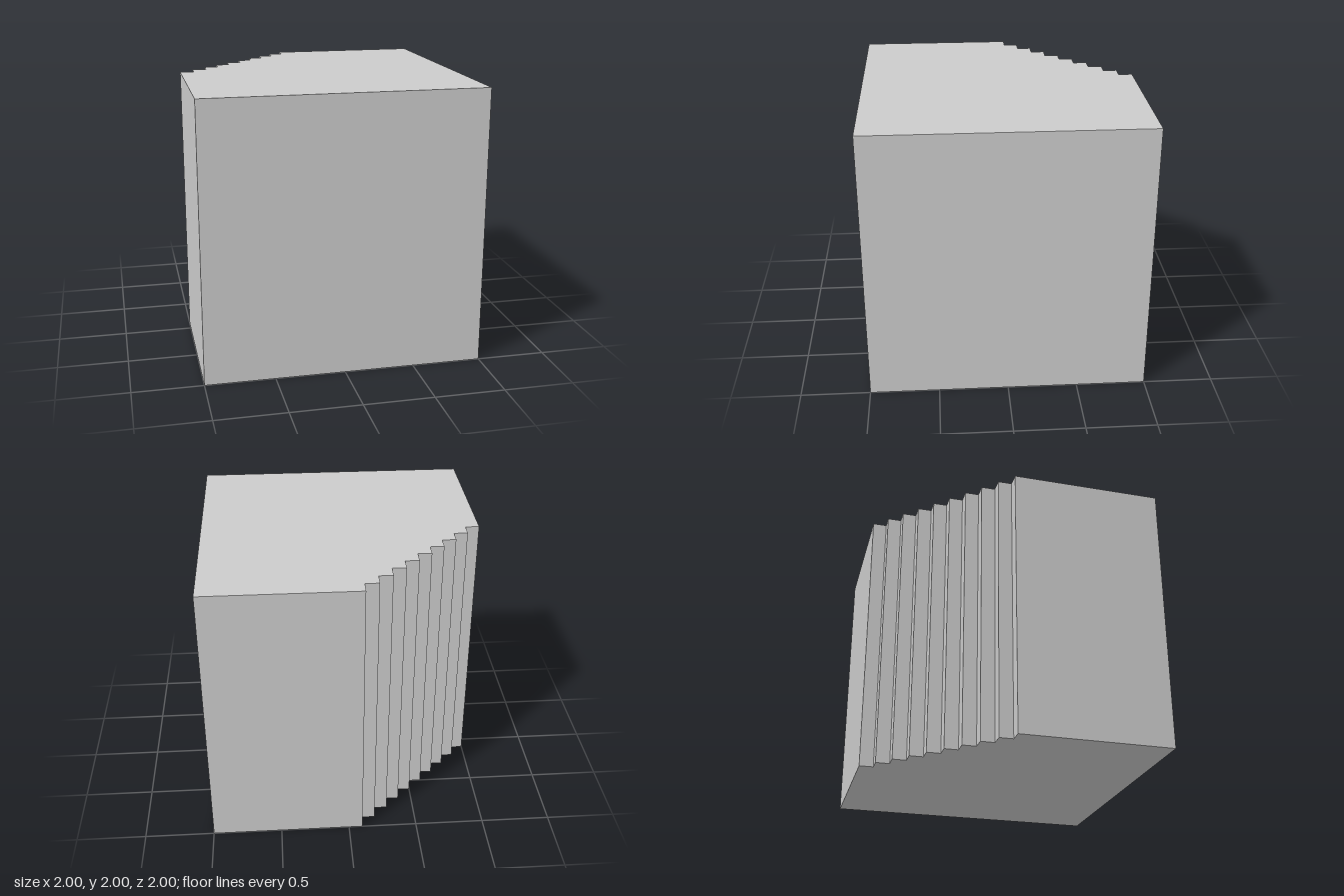
import * as THREE from 'three';

const SIZE = 2;
const STEP = 0.1;
const STEPS = 9;

// Square plan whose back right corner is cut away as a staircase (shape y = -z)
function planShape() {
  const half = SIZE / 2;
  const shape = new THREE.Shape();
  shape.moveTo(-half, -half);
  shape.lineTo(half, -half);
  shape.lineTo(half, half);
  for (let i = 1; i <= STEPS; i++) {
    const x = -i * STEP;
    const y = half - (i - 1) * STEP;
    shape.lineTo(x, y);
    shape.lineTo(x, y - STEP);
  }
  shape.lineTo(-half, STEP);
  shape.closePath();
  return shape;
}

export function createModel() {
  const group = new THREE.Group();
  group.name = 'steppedCornerBlock';

  // Plan extruded straight up from the ground
  const geometry = new THREE.ExtrudeGeometry(planShape(), { depth: SIZE, bevelEnabled: false });
  geometry.rotateX(-Math.PI / 2);
  const block = new THREE.Mesh(
    geometry,
    new THREE.MeshStandardMaterial({ color: 0xcccccc, flatShading: true })
  );
  block.name = 'block';
  group.add(block);
  return group;
}
